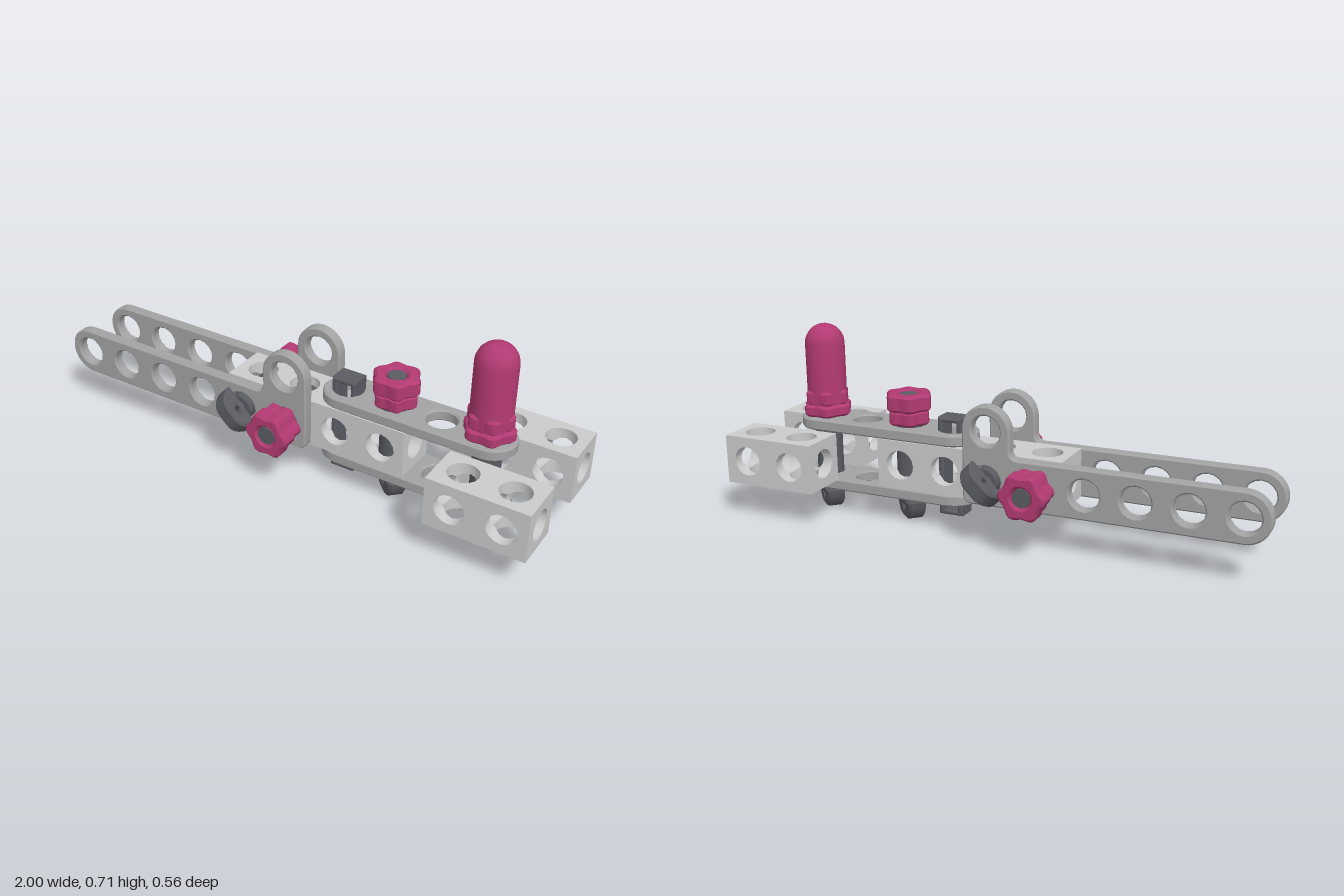
import * as THREE from 'three';
import { mergeGeometries, toCreasedNormals } from 'three/addons/utils/BufferGeometryUtils.js';

const P = 0.181;      // hole pitch
const H = P / 2;      // half a block cell
const R = 0.055;      // hole radius
const T = 0.043;      // strap thickness

const mat = (color) => new THREE.MeshStandardMaterial({ color });
const blockMat = mat(0xcccccc), strapMat = mat(0xa3a3a3), boltMat = mat(0x5a5c62), nutMat = mat(0xb23a72);

function add(parent, name, geo, material, x = 0, y = 0, z = 0) {
  const m = new THREE.Mesh(geo, material);
  m.name = name;
  m.position.set(x, y, z);
  parent.add(m);
  return m;
}

// Bevelled slab, centred on its thickness
function slab(shape, depth, bevel = 0.006, segs = 8) {
  const g = new THREE.ExtrudeGeometry(shape, {
    depth: depth - 2 * bevel, bevelEnabled: true, bevelThickness: bevel,
    bevelSize: bevel, bevelOffset: -bevel, bevelSegments: 1, curveSegments: segs,
  });
  g.translate(0, 0, bevel - depth / 2);
  return toCreasedNormals(g, 0.6);
}

function circleHole(x, y, r) {
  const p = new THREE.Path();
  p.absarc(x, y, r, 0, Math.PI * 2, true);
  return p;
}

function rect(w, h, Type = THREE.Shape) {
  return new Type([[-w, -h], [w, -h], [w, h], [-w, h]].map(([x, y]) => new THREE.Vector2(x, y)));
}

// Wall of one bore along +z, cut where it meets the two crossing bores
function boreWall() {
  const n = 16, pos = [], idx = [];
  for (let i = 0; i <= n; i++) {
    const a = (i / n) * Math.PI * 2, c = Math.cos(a), s = Math.sin(a);
    const inner = R * Math.max(Math.abs(c), Math.abs(s));
    pos.push(R * c, R * s, H, R * c, R * s, inner);
    if (i < n) idx.push(2 * i, 2 * i + 2, 2 * i + 1, 2 * i + 1, 2 * i + 2, 2 * i + 3);
  }
  const g = new THREE.BufferGeometry();
  g.setAttribute('position', new THREE.Float32BufferAttribute(pos, 3));
  g.setIndex(idx);
  return toCreasedNormals(g, 0.6);
}

// Row of cube cells drilled in all three directions
function drilledBlock(cells) {
  const square = rect(H, H);
  square.holes.push(circleHole(0, 0, R));
  const face = new THREE.ShapeGeometry(square, 8).toNonIndexed().translate(0, 0, H);
  face.deleteAttribute('uv');
  const wall = boreWall();
  const parts = [];
  for (let i = 0; i < cells; i++) {
    for (let d = 0; d < 6; d++) {
      const turn = d < 4 ? new THREE.Matrix4().makeRotationX(d * Math.PI / 2)
        : new THREE.Matrix4().makeRotationY(d === 4 ? Math.PI / 2 : -Math.PI / 2);
      turn.premultiply(new THREE.Matrix4().makeTranslation(i * P, 0, 0));
      parts.push(wall.clone().applyMatrix4(turn));
      const outside = d < 4 || (d === 4 && i === cells - 1) || (d === 5 && i === 0);
      if (outside) parts.push(face.clone().applyMatrix4(turn));
    }
  }
  return mergeGeometries(parts);
}

// Straight strap with round ends, first hole at the origin
function strapGeometry(holes) {
  const s = new THREE.Shape();
  s.absarc(0, 0, H, Math.PI / 2, Math.PI * 1.5, false);
  s.absarc((holes - 1) * P, 0, H, -Math.PI / 2, Math.PI / 2, false);
  for (let i = 0; i < holes; i++) s.holes.push(circleHole(i * P, 0, R));
  return slab(s, T);
}

// Long arm with an upright ear above its last hole
function earedArmGeometry() {
  const s = new THREE.Shape(), left = -5 * P, f = 0.03;
  s.absarc(left, 0, H, Math.PI / 2, Math.PI * 1.5, false);
  s.lineTo(H - f, -H);
  s.quadraticCurveTo(H, -H, H, -H + f);
  s.absarc(0, P, H, 0, Math.PI, false);
  s.lineTo(-H, H + f);
  s.quadraticCurveTo(-H, H, -H - f, H);
  for (let i = 0; i < 6; i++) s.holes.push(circleHole(-i * P, 0, R));
  s.holes.push(circleHole(0, P, R));
  return slab(s, T);
}

// Six-lobed ring standing on y = 0
function lobedRing(radius, height) {
  const pts = [];
  for (let i = 0; i < 36; i++) {
    const a = (i / 36) * Math.PI * 2, r = radius - 0.007 + 0.007 * Math.cos(6 * a);
    pts.push(new THREE.Vector2(r * Math.cos(a), r * Math.sin(a)));
  }
  const s = new THREE.Shape(pts);
  s.holes.push(circleHole(0, 0, 0.036));
  return slab(s, height, 0.009).rotateX(-Math.PI / 2).translate(0, height / 2, 0);
}

// Thumb bolt along y: flat domed head below, shaft, lobed nut or tall cap above
function bolt(name, headTurn, capped) {
  const g = new THREE.Group();
  g.name = name;
  const s = new THREE.Shape();
  s.moveTo(-0.083, -0.15);
  s.lineTo(-0.08, -0.172);
  s.bezierCurveTo(-0.065, -0.212, -0.045, -0.225, -0.02, -0.225);
  s.lineTo(0.02, -0.225);
  s.bezierCurveTo(0.045, -0.225, 0.065, -0.212, 0.08, -0.172);
  s.lineTo(0.083, -0.15);
  const d = 0.016;
  s.holes.push(new THREE.Path([[0, -d], [-d, 0], [0, d], [d, 0]].map(([x, y]) => new THREE.Vector2(x, y - 0.178))));
  add(g, 'boltHead', slab(s, 0.065, 0.008), boltMat).rotation.y = headTurn;
  add(g, 'boltShaft', new THREE.CylinderGeometry(0.05, 0.05, 0.3, 16), boltMat);
  add(g, 'boltTip', new THREE.CylinderGeometry(0.034, 0.034, 0.1, 10), boltMat, 0, 0.197);
  if (capped) {
    add(g, 'capBaseLower', lobedRing(0.093, 0.045), nutMat, 0, 0.136);
    add(g, 'capBaseUpper', lobedRing(0.084, 0.055), nutMat, 0, 0.178);
    const profile = [new THREE.Vector2(0.073, 0.14)];
    for (let i = 0; i <= 7; i++) {
      const a = (i / 7) * Math.PI / 2;
      profile.push(new THREE.Vector2(0.073 * Math.cos(a), 0.407 + 0.073 * Math.sin(a)));
    }
    add(g, 'capDome', toCreasedNormals(new THREE.LatheGeometry(profile, 20), 0.6), nutMat);
  } else {
    add(g, 'nutLower', lobedRing(0.08, 0.055), nutMat, 0, 0.137);
    add(g, 'nutUpper', lobedRing(0.088, 0.064), nutMat, 0, 0.189);
  }
  return g;
}

export function createModel() {
  const model = new THREE.Group();
  model.name = 'constructionToy';
  const body = new THREE.Group();
  body.name = 'assembly';
  body.position.set(0, 0.23, -0.021);
  body.rotation.set(0, -0.03, -0.008);
  model.add(body);

  // Blocks: long centre block and a pair at the fork end
  add(body, 'centreBlock', drilledBlock(4), blockMat, -P + 0.005);
  for (const [side, z] of [['front', 1], ['back', -1]]) {
    add(body, side + 'ForkBlock', drilledBlock(2), blockMat, 0.722, 0, z * (P + 0.003));
    add(body, side + 'EaredArm', earedArmGeometry(), strapMat, 0.002, 0, z * (H + T / 2));
  }

  // Straps above and below the centre block
  for (const [side, y] of [['upper', 1], ['lower', -1]]) {
    add(body, side + 'Strap', strapGeometry(4).rotateX(-Math.PI / 2), strapMat, 0.187, y * (H + T / 2), 0);
  }

  // Slotted pin through both straps
  const pin = rect(0.047, 0.183);
  pin.holes.push(rect(0.027, 0.166, THREE.Path));
  add(body, 'slottedPin', slab(pin, 0.08, 0.005), boltMat, 0.188);

  // Bolts: two upright, two through the arms in opposite directions
  const bolts = [
    ['middleBolt', 0.372, 0, -Math.PI / 4, false],
    ['cappedBolt', 0.722, 0, -Math.PI / 4, true],
    ['frontHeadBolt', -P, -Math.PI / 2, Math.PI / 4, false],
    ['backHeadBolt', 0.003, Math.PI / 2, Math.PI / 4, false],
  ];
  for (const [name, x, tilt, turn, capped] of bolts) {
    const b = bolt(name, turn, capped);
    b.position.x = x;
    b.rotation.x = tilt;
    body.add(b);
  }
  return model;
}
